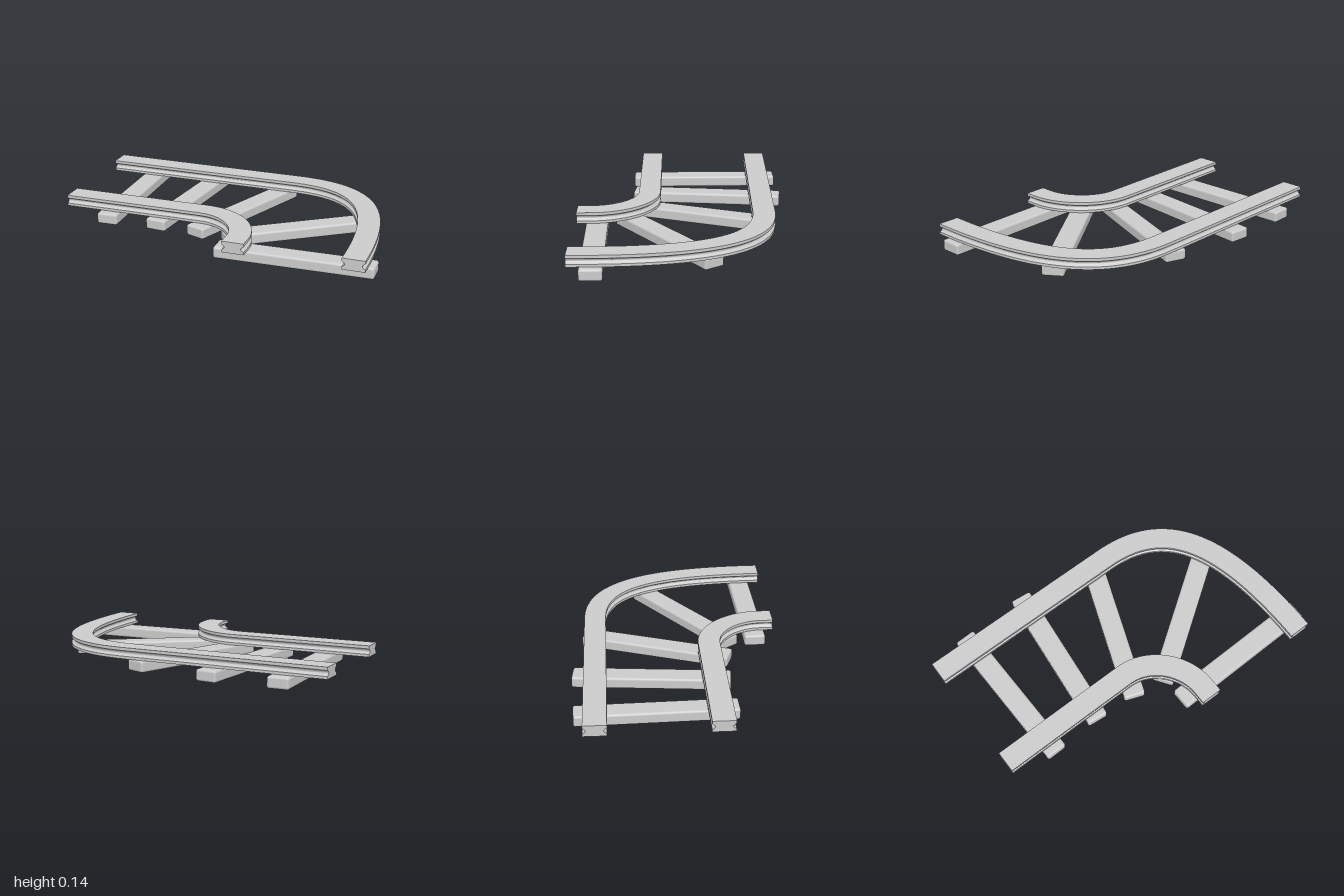
import * as THREE from 'three';
import { toCreasedNormals } from 'three/addons/utils/BufferGeometryUtils.js';
import { RoundedBoxGeometry } from 'three/addons/geometries/RoundedBoxGeometry.js';

const material = new THREE.MeshStandardMaterial({ color: 0xcccccc });
const RAIL_BOTTOM = 0.07, RAIL_TOP = 0.137, RAIL_HALF = 0.066;
const TIE_HEIGHT = 0.069, TIE_WIDTH = 0.13;

// Rail cross-section: flat top and bottom, rounded groove along both sides
function railProfile() {
  const s = new THREE.Shape();
  const w = RAIL_HALF, low = 0.086, high = 0.119, mid = 0.1025, deep = w - 0.035;
  s.moveTo(-w, RAIL_BOTTOM);
  s.lineTo(w, RAIL_BOTTOM);
  s.lineTo(w, low);
  s.quadraticCurveTo(deep, mid, w, high);
  s.lineTo(w, RAIL_TOP);
  s.lineTo(-w, RAIL_TOP);
  s.lineTo(-w, high);
  s.quadraticCurveTo(-deep, mid, -w, low);
  s.closePath();
  return s;
}

// Rail: straight extrusion bent along a path of ground points [x, z]
function rail(name, start, bend, c1, c2, bendEnd, end) {
  const v = ([x, z]) => new THREE.Vector3(x, 0, z);
  const path = new THREE.CurvePath();
  path.add(new THREE.LineCurve3(v(start), v(bend)));
  path.add(new THREE.CubicBezierCurve3(v(bend), v(c1), v(c2), v(bendEnd)));
  path.add(new THREE.LineCurve3(v(bendEnd), v(end)));
  const geo = new THREE.ExtrudeGeometry(railProfile(), {
    depth: 1, steps: 80, bevelEnabled: false, curveSegments: 8,
  });
  const pos = geo.attributes.position;
  for (let i = 0; i < pos.count; i++) {
    const t = THREE.MathUtils.clamp(pos.getZ(i), 0, 1);
    const p = path.getPoint(t), d = path.getTangent(t), side = pos.getX(i);
    pos.setXYZ(i, p.x + d.z * side, pos.getY(i), p.z - d.x * side);
  }
  const mesh = new THREE.Mesh(toCreasedNormals(geo, Math.PI / 6), material);
  mesh.name = name;
  return mesh;
}

// Tie: rounded beam lying between two ground points
function tie(name, [x0, z0], [x1, z1]) {
  const length = Math.hypot(x1 - x0, z1 - z0);
  const mesh = new THREE.Mesh(
    new RoundedBoxGeometry(length, TIE_HEIGHT, TIE_WIDTH, 3, 0.014), material);
  mesh.position.set((x0 + x1) / 2, TIE_HEIGHT / 2, (z0 + z1) / 2);
  mesh.rotation.y = -Math.atan2(z1 - z0, x1 - x0);
  mesh.name = name;
  return mesh;
}

export function createModel() {
  const track = new THREE.Group();
  track.name = 'curvedTrack';

  track.add(rail('outerRail', [-1, -0.495], [0.25, -0.483],
    [0.67, -0.476], [0.895, -0.2], [0.895, 0.58], [0.895, 0.62]));
  track.add(rail('innerRail', [-1, 0.197], [-0.13, 0.197],
    [0.06, 0.197], [0.205, 0.37], [0.205, 0.54], [0.205, 0.62]));

  // Ties fan out around the bend
  const ties = [
    [[-0.735, -0.615], [-0.715, 0.312]],
    [[-0.308, -0.622], [-0.402, 0.3]],
    [[0.185, -0.545], [-0.14, 0.322]],
    [[0.807, -0.18], [0.053, 0.347]],
    [[0.995, 0.487], [0.065, 0.503]],
  ];
  ties.forEach(([a, b], i) => track.add(tie(`tie${i + 1}`, a, b)));
  return track;
}
